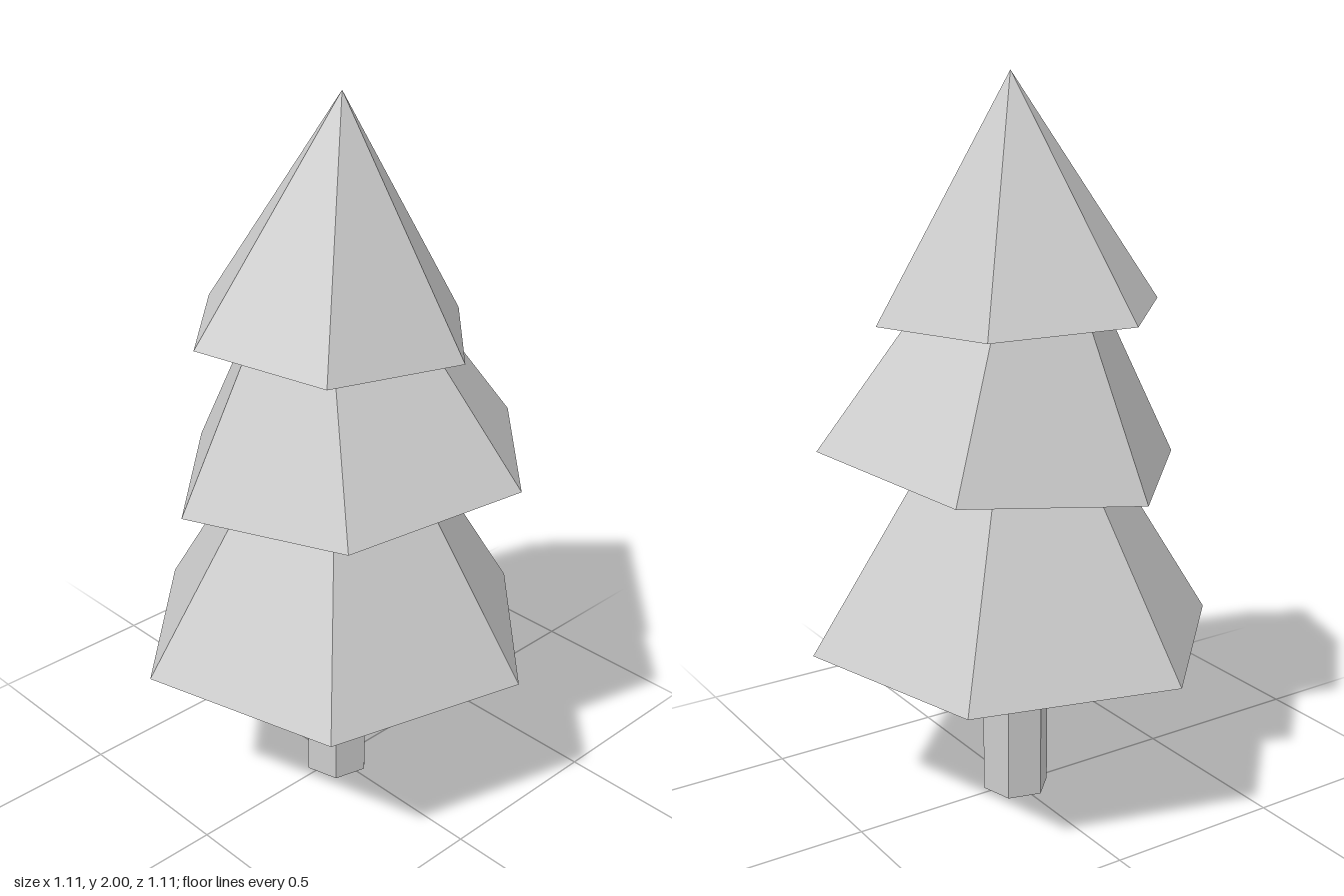
import * as THREE from 'three';

const SIDES = 6;
const TURN = Math.PI / 4; // puts one corner of every hexagon on the x = z diagonal

const material = new THREE.MeshStandardMaterial({
  color: 0xcccccc, flatShading: true, side: THREE.DoubleSide,
});

// Six-sided cone standing on its base centre, its axis leaning along `axis`
function tier(name, radius, height, base, axis) {
  const geometry = new THREE.ConeGeometry(radius, height, SIDES, 1, false, TURN);
  geometry.translate(0, height / 2, 0);
  const mesh = new THREE.Mesh(geometry, material);
  mesh.name = name;
  mesh.position.set(...base);
  mesh.quaternion.setFromUnitVectors(
    new THREE.Vector3(0, 1, 0), new THREE.Vector3(...axis).normalize());
  return mesh;
}

export function createModel() {
  const tree = new THREE.Group();
  tree.name = 'pineTree';

  // Trunk: hexagonal tube, open at the foot
  const trunkHeight = 0.5;
  const trunkGeometry = new THREE.CylinderGeometry(0.095, 0.095, trunkHeight, SIDES, 1, true, TURN);
  trunkGeometry.translate(0, trunkHeight / 2, 0);
  const trunk = new THREE.Mesh(trunkGeometry, material);
  trunk.name = 'trunk';
  tree.add(trunk);

  // Foliage: level bottom tier, two tiers leaning opposite ways above it
  tree.add(
    tier('lowerFoliage', 0.572, 0.925, [0, 0.475, 0], [0, 1, 0]),
    tier('middleFoliage', 0.505, 0.82, [0.028, 0.995, -0.03], [-0.073, 1, 0.073]),
    tier('upperFoliage', 0.39, 0.62, [-0.011, 1.38, 0.008], [0.03, 1, -0.03]),
  );
  return tree;
}
